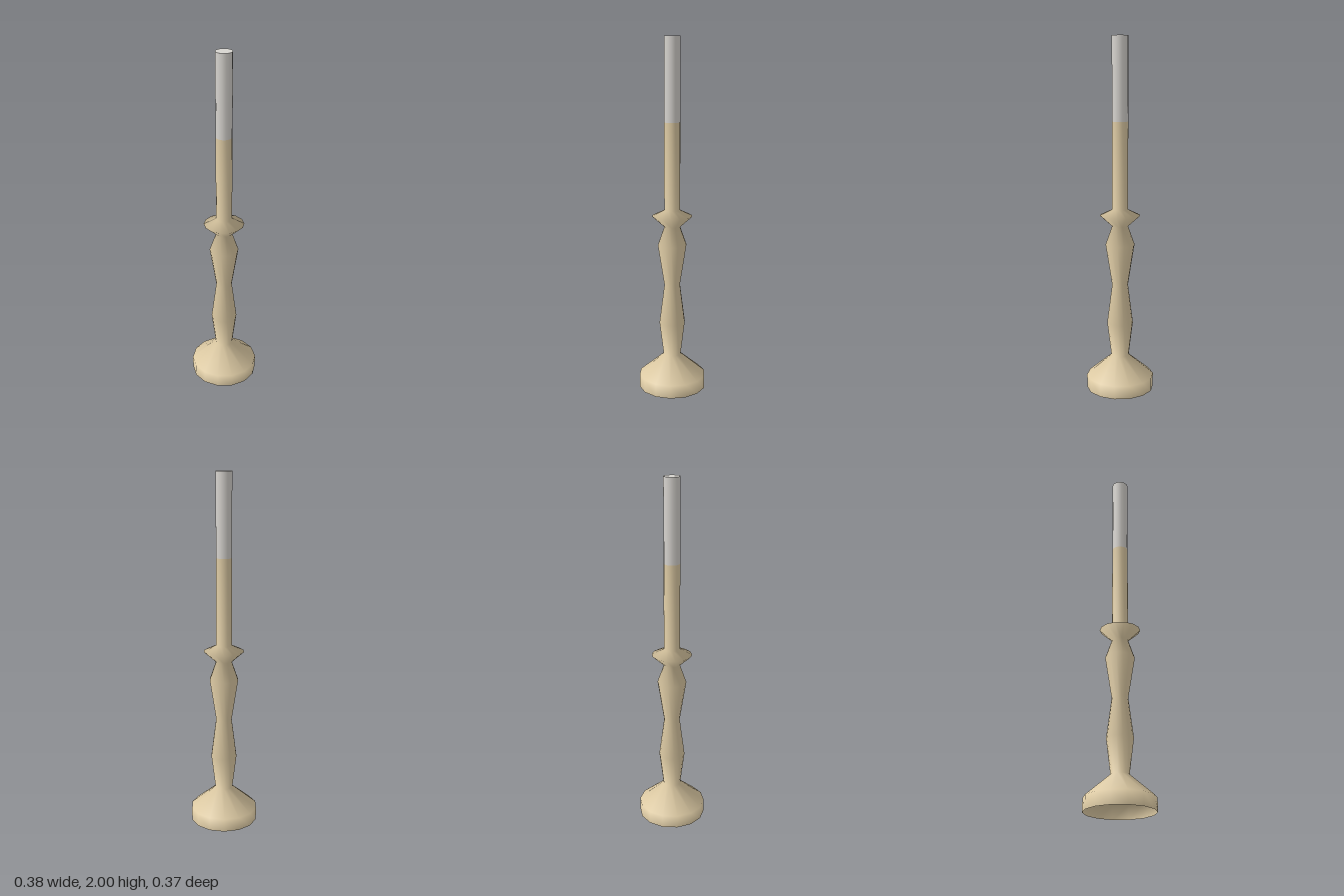
import * as THREE from 'three';

const SIDES = 14;

// Turned part from [radius, height] pairs, with a corner on the x axis
function turned(name, profile, material) {
  const points = profile.map(([r, y]) => new THREE.Vector2(r, y));
  const mesh = new THREE.Mesh(new THREE.LatheGeometry(points, SIDES, Math.PI / 2), material);
  mesh.name = name;
  return mesh;
}

export function createModel() {
  const wood = new THREE.MeshStandardMaterial({ color: 0xe0cda6, side: THREE.DoubleSide });
  wood.name = 'pale wood';
  const wax = new THREE.MeshStandardMaterial({ color: 0xd8d5d0 });
  wax.name = 'grey wax';

  const group = new THREE.Group();
  group.name = 'candlestick';

  // Hollow foot, baluster stem, drip tray and socket, smooth throughout
  group.add(turned('holder', [
    [0.192, 0], [0.192, 0.075],
    [0.05, 0.195], [0.074, 0.39], [0.045, 0.615], [0.082, 0.85], [0.045, 0.955],
    [0.114, 1.017], [0.045, 1.05], [0.045, 1.54],
  ], wood));

  // Candle and its flat top
  group.add(turned('candle', [[0.045, 1.54], [0.045, 2]], wax));
  const top = new THREE.Mesh(new THREE.CircleGeometry(0.045, SIDES), wax);
  top.name = 'candleTop';
  top.rotation.x = -Math.PI / 2;
  top.position.y = 2;
  group.add(top);

  return group;
}
